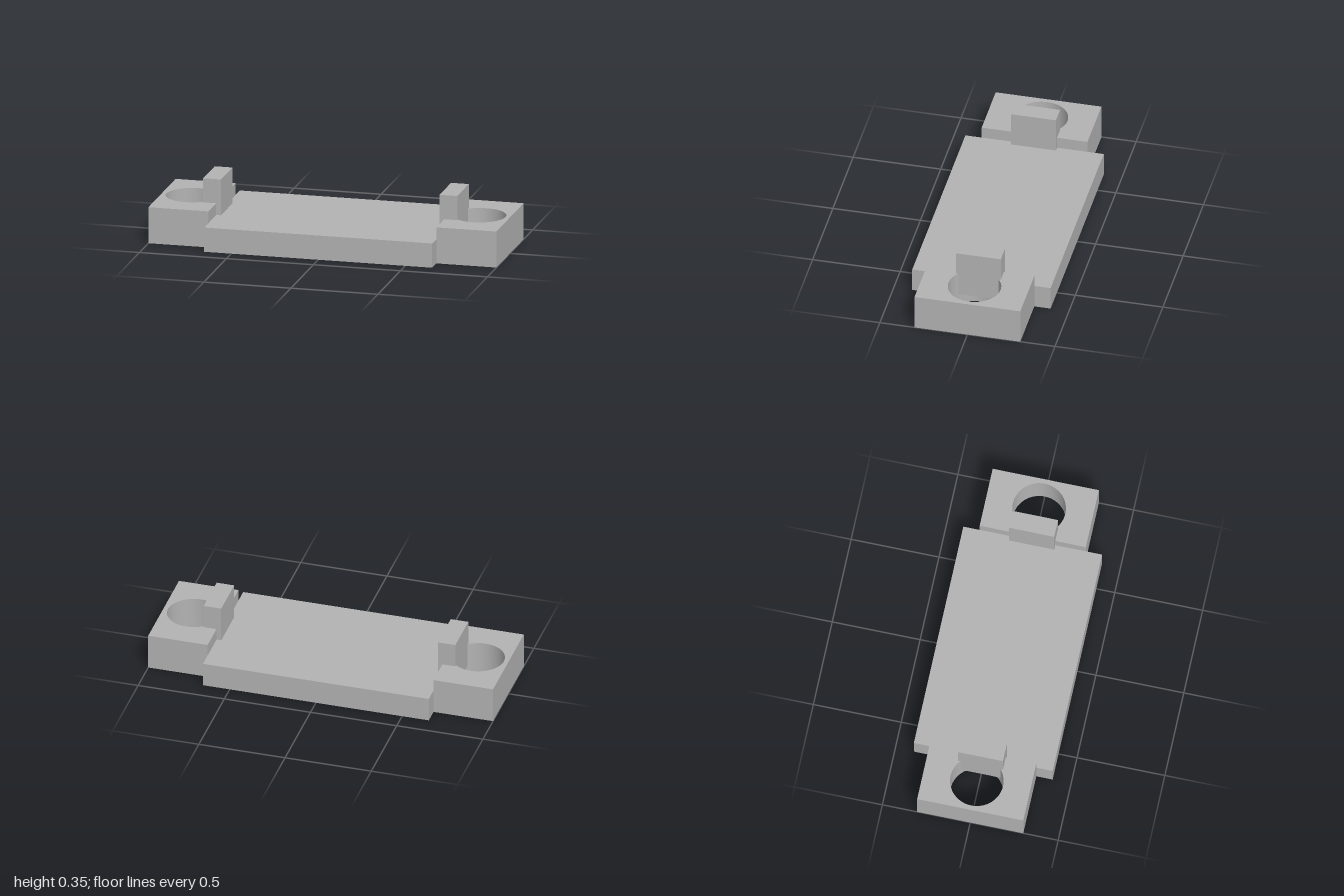
import * as THREE from 'three';
import { toCreasedNormals } from 'three/addons/utils/BufferGeometryUtils.js';

const PLATE = { halfX: 0.655, halfZ: 0.395, height: 0.14 };
const BLOCK = { outerX: 1, halfZ: 0.302, height: 0.208 };
const HOLE = { x: 0.825, radius: 0.149 };
const TAB = { x0: 0.628, x1: 0.73, y0: 0.07, y1: 0.347, halfZ: 0.128 };

function box(name, material, x0, x1, y0, y1, halfZ) {
  const mesh = new THREE.Mesh(new THREE.BoxGeometry(x1 - x0, y1 - y0, halfZ * 2), material);
  mesh.position.set((x0 + x1) / 2, (y0 + y1) / 2, 0);
  mesh.name = name;
  return mesh;
}

// End block outline with a round through hole, extruded upwards
function endBlockGeometry() {
  const { halfZ, outerX, height } = BLOCK;
  const shape = new THREE.Shape();
  shape.moveTo(PLATE.halfX, -halfZ);
  shape.lineTo(outerX, -halfZ);
  shape.lineTo(outerX, halfZ);
  shape.lineTo(PLATE.halfX, halfZ);
  shape.closePath();
  const hole = new THREE.Path();
  hole.absarc(HOLE.x, 0, HOLE.radius, 0, Math.PI * 2, true);
  shape.holes.push(hole);
  const geometry = new THREE.ExtrudeGeometry(shape, { depth: height, bevelEnabled: false, curveSegments: 32 });
  geometry.rotateX(-Math.PI / 2);
  return toCreasedNormals(geometry, 0.6);
}

export function createModel() {
  const model = new THREE.Group();
  model.name = 'mountingPlate';
  const grey = new THREE.MeshStandardMaterial({ color: 0xb2b2b2 });
  grey.name = 'plain grey';

  // Flat centre plate
  model.add(box('centrePlate', grey, -PLATE.halfX, PLATE.halfX, 0, PLATE.height, PLATE.halfZ));

  // Identical ends, turned half round: drilled block and upright tab
  const blockGeometry = endBlockGeometry();
  for (const side of ['left', 'right']) {
    const end = new THREE.Group();
    end.name = side + 'End';
    const block = new THREE.Mesh(blockGeometry, grey);
    block.name = 'drilledBlock';
    end.add(block, box('uprightTab', grey, TAB.x0, TAB.x1, TAB.y0, TAB.y1, TAB.halfZ));
    if (side === 'right') end.rotation.y = Math.PI;
    model.add(end);
  }
  return model;
}
